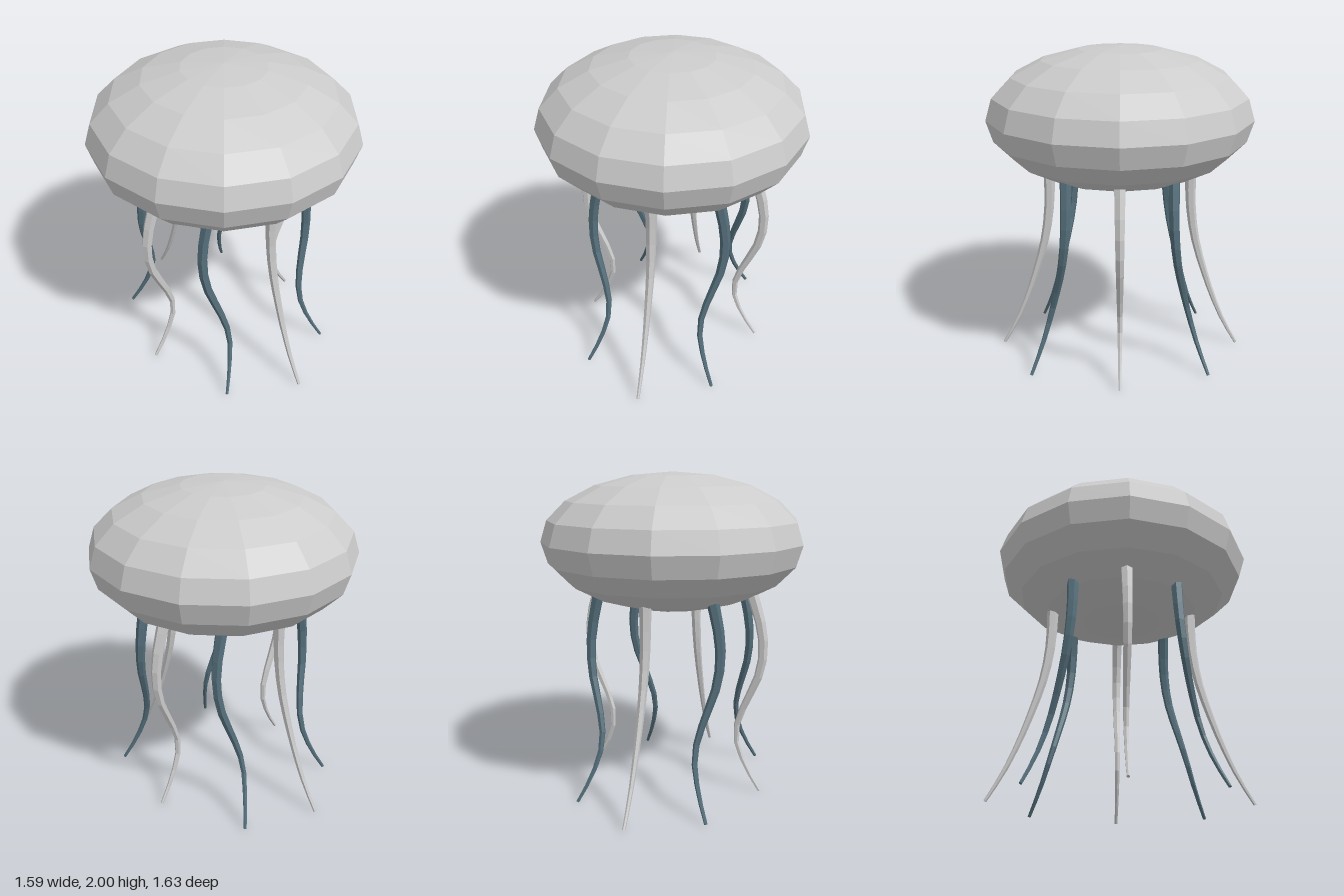
import * as THREE from 'three';

const grey = new THREE.MeshStandardMaterial({ color: 0xcccccc, flatShading: true });
const blue = new THREE.MeshStandardMaterial({ color: 0x546e7a, flatShading: true });

// Path stations from tip to root: [height, sideways reach, front-back reach]
const stations = [
  [0.008, 0.785, 0.59], [0.18, 0.69, 0.485], [0.37, 0.61, 0.427], [0.56, 0.545, 0.475],
  [0.75, 0.49, 0.56], [0.93, 0.458, 0.592], [1.1, 0.446, 0.57], [1.25, 0.445, 0.523], [1.33, 0.445, 0.495],
];

// A capped six-sided cylinder bent along a curve, one flat corner facing outward
function tentacleGeometry(angle) {
  const out = new THREE.Vector3(Math.sin(angle), 0, Math.cos(angle));
  const path = new THREE.CatmullRomCurve3(
    stations.map(([y, sx, sz]) => new THREE.Vector3(out.x * sx, y, out.z * sz)));
  const geometry = new THREE.CylinderGeometry(0.038, 0.01, 1, 6, 12);
  const pos = geometry.attributes.position;
  for (let i = 0; i < pos.count; i++) {
    const t = THREE.MathUtils.clamp(pos.getY(i) + 0.5, 0, 1);
    const along = path.getTangentAt(t);
    const outward = out.clone().addScaledVector(along, -out.dot(along)).normalize();
    const side = along.clone().cross(outward);
    const p = path.getPointAt(t)
      .addScaledVector(side, pos.getX(i))
      .addScaledVector(outward, pos.getZ(i));
    pos.setXYZ(i, p.x, p.y, p.z);
  }
  geometry.computeVertexNormals();
  return geometry;
}

export function createModel() {
  const model = new THREE.Group();
  model.name = 'jellyfish';

  // Flattened faceted bell with a corner facing the front
  const bellGeometry = new THREE.SphereGeometry(0.813, 14, 10);
  bellGeometry.rotateY(Math.PI / 2).scale(1, 0.42 / 0.813, 1);
  const bell = new THREE.Mesh(bellGeometry, grey);
  bell.name = 'bell';
  bell.position.y = 1.58;
  model.add(bell);

  // Eight tentacles in alternating colours
  const tentacles = new THREE.Group();
  tentacles.name = 'tentacles';
  for (let i = 0; i < 8; i++) {
    const tentacle = new THREE.Mesh(tentacleGeometry(i * Math.PI / 4), i % 2 ? blue : grey);
    tentacle.name = `tentacle${i + 1}`;
    tentacles.add(tentacle);
  }
  model.add(tentacles);
  return model;
}
